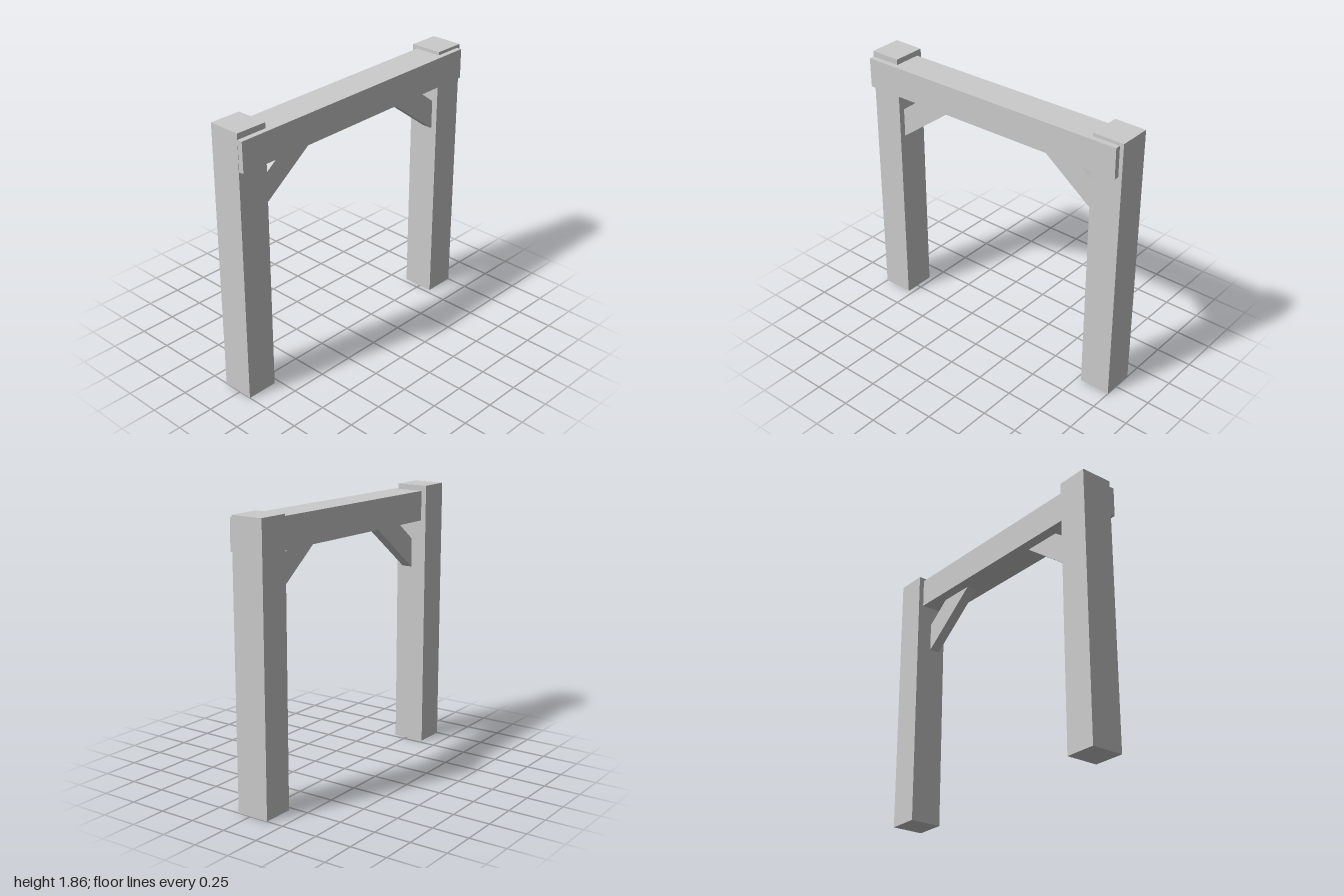
import * as THREE from 'three';

const material = new THREE.MeshStandardMaterial({ color: 0xcccccc, flatShading: true });

// Timber with a side outline given as [z, y] points, running from x0 to x1
function timber(name, outline, x0, x1) {
  const shape = new THREE.Shape(outline.map(([z, y]) => new THREE.Vector2(-z, y)));
  const geometry = new THREE.ExtrudeGeometry(shape, { depth: x1 - x0, bevelEnabled: false });
  geometry.rotateY(Math.PI / 2); // outline into the z-y plane, depth along +x
  geometry.translate(x0, 0, 0);
  const mesh = new THREE.Mesh(geometry, material);
  mesh.name = name;
  return mesh;
}

export function createModel() {
  const group = new THREE.Group();
  group.name = 'timberFrame';

  // Upright posts
  for (const [name, side] of [['frontPost', 1], ['backPost', -1]]) {
    const post = new THREE.Mesh(new THREE.BoxGeometry(0.225, 1.855, 0.217), material);
    post.name = name;
    post.position.set(-0.0185, 0.9275, side * 0.8915);
    group.add(post);
  }

  // Cross beam, rising slightly towards the back
  group.add(timber('crossBeam',
    [[0.997, 1.61], [0.999, 1.815], [-0.973, 1.835], [-0.975, 1.63]], -0.095, 0.13));

  // Diagonal braces, let a little into the posts and the beam
  for (const [name, side, lift] of [['frontBrace', 1, 0], ['backBrace', -1, 0.016]]) {
    const points = [[0.82, 1.25], [0.82, 1.45], [0.553, 1.65], [0.285, 1.65]];
    group.add(timber(name, points.map(([z, y]) => [side * z, y + lift]), -0.021, 0.052));
  }
  return group;
}
